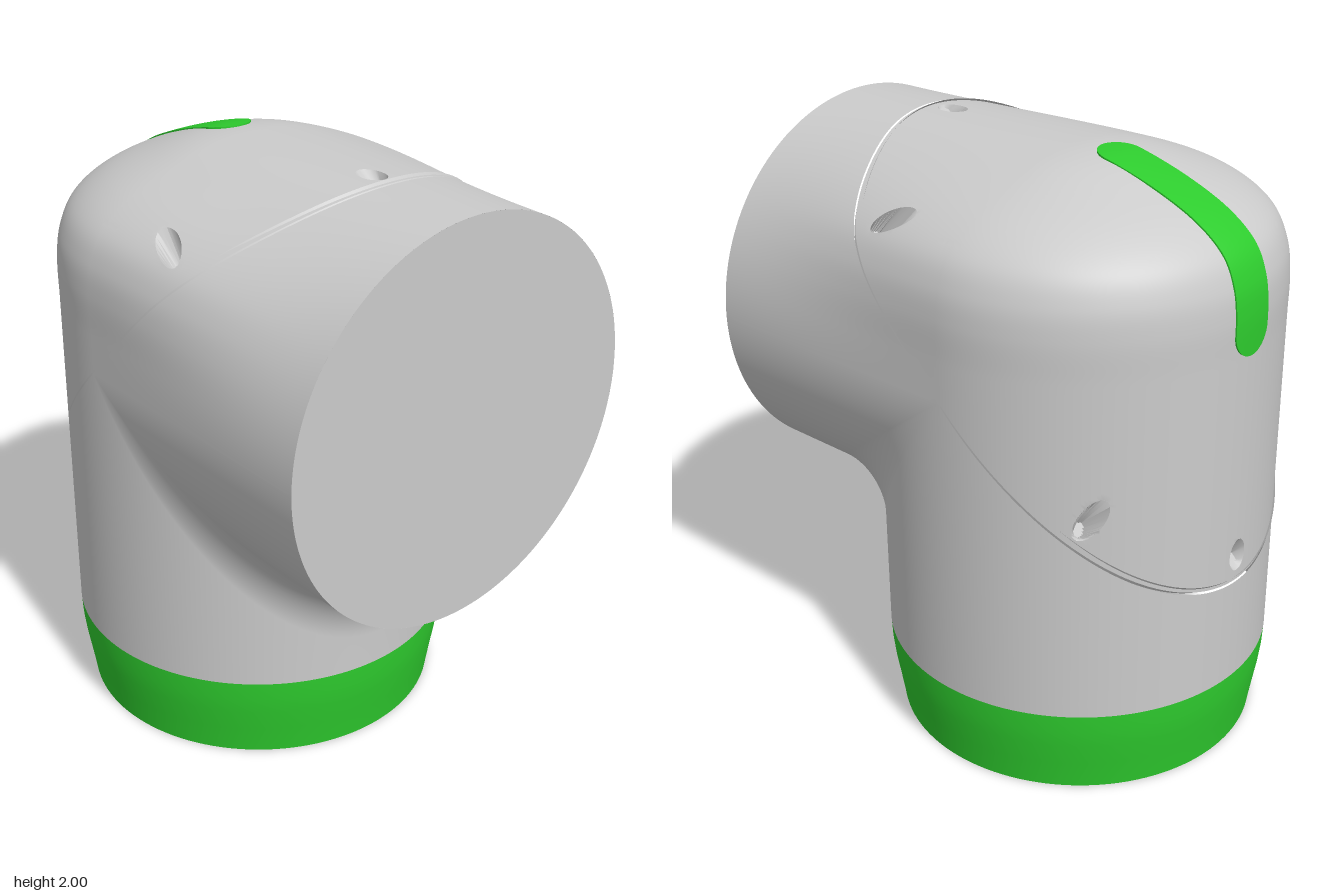
import * as THREE from 'three';
import { mergeGeometries, mergeVertices, toCreasedNormals } from 'three/addons/utils/BufferGeometryUtils.js';

const R = 0.66, AY = 1.335, AZ = -0.17; // pipe radius and crossing point of the two axes
const FRONT = 0.83, BASE = 0.305, FILLET = 0.25;
const CUT = AY - AZ, GAP = 0.009; // the cover is split off along the plane y - z = CUT
const N = 180;
const AXIS = new THREE.Vector3(0, 1, -1).normalize(); // normal of the split plane
const V = (x, y, z) => new THREE.Vector3(x, y, z);

const grey = new THREE.MeshStandardMaterial({ color: 0xcccccc });
const shell = new THREE.MeshStandardMaterial({ color: 0xcccccc, side: THREE.DoubleSide });
const green = new THREE.MeshStandardMaterial({ color: 0x2ecc2e });

// Grid surface from a point rule; outward side is dU x dV
function loft(nu, nv, fn) {
  const pos = [], idx = [];
  for (let i = 0; i <= nu; i++) {
    for (let j = 0; j <= nv; j++) {
      pos.push(...fn(i, j).toArray());
      if (i < nu && j < nv) {
        const a = i * (nv + 1) + j, b = a + nv + 1;
        idx.push(a, b, a + 1, b, b + 1, a + 1);
      }
    }
  }
  const g = new THREE.BufferGeometry();
  g.setAttribute('position', new THREE.Float32BufferAttribute(pos, 3));
  g.setIndex(idx);
  return g;
}

function weld(parts) {
  const g = mergeVertices(mergeGeometries(parts), 1e-5);
  g.computeVertexNormals();
  return g;
}

// Dome profile: side wall, rounded shoulder, gentle crown
const half = [[0.66, AY], [0.66, 1.47], [0.66, 1.6], [0.645, 1.7], [0.6, 1.79],
  [0.5, 1.867], [0.35, 1.932], [0.18, 1.983]];
const domeCurve = new THREE.SplineCurve([
  ...half.map(([x, y]) => new THREE.Vector2(x, y)),
  new THREE.Vector2(0, 2),
  ...half.slice().reverse().map(([x, y]) => new THREE.Vector2(-x, y)),
]);
domeCurve.arcLengthDivisions = 800;
const dome = domeCurve.getSpacedPoints(N);

// Upper surface: the dome section eases into the round pipe towards the front
function upper(i, z) {
  const a = Math.PI * i / N, w = THREE.MathUtils.smoothstep(z, AZ, FRONT);
  return V(THREE.MathUtils.lerp(dome[i].x, R * Math.cos(a), w),
    THREE.MathUtils.lerp(dome[i].y, AY + R * Math.sin(a), w), z);
}

// z at which the upper surface meets the plane y - z = k
function seamZ(i, k) {
  let lo = AZ, hi = FRONT;
  for (let n = 0; n < 24; n++) {
    const m = (lo + hi) / 2;
    if (upper(i, m).y - m > k) lo = m; else hi = m;
  }
  return lo;
}

const backPoint = (rho, y, phi) => V(rho * Math.cos(phi), y, AZ - rho * Math.sin(phi));

function bodyGeometry() {
  // Front pipe, upper half
  const top = loft(N, 24, (i, j) => {
    const z0 = seamZ(i, CUT);
    return upper(i, z0 + (FRONT - z0) * j / 24);
  });
  // Upright pipe, back half
  const back = loft(N, 12, (i, j) => {
    const phi = Math.PI * i / N, y1 = AY - R * Math.sin(phi);
    return backPoint(R, BASE + (y1 - BASE) * j / 12, phi);
  });
  // Inner elbow with a rolling-ball fillet between the pipes
  const M = 16;
  const inner = loft(N, M + 2, (i, j) => {
    const a = Math.PI * (1 - i / N), c = Math.cos(a), s = Math.sin(a);
    if (j === 0) return V(R * c, BASE, AZ + R * s);
    if (j === M + 2) return V(R * c, AY - R * s, FRONT);
    const t = (j - 1) / M * Math.PI / 2, q = R + FILLET;
    const dir = V(-c, s * Math.sin(t), -s * Math.cos(t)).normalize();
    return V(q * c, AY - q * s, AZ + q * s).addScaledVector(dir, FILLET);
  });
  return weld([top, back, inner]);
}

function coverGeometry() {
  const front = loft(N, 60, (i, j) => upper(i, AZ + (seamZ(i, CUT + GAP) - AZ) * j / 60));
  const low = 54;
  const back = loft(170, low + N / 2, (i, j) => {
    const phi = Math.PI * i / 170;
    if (j >= low) return backPoint(dome[j - low].x, dome[j - low].y, phi);
    const y0 = Math.min(AY, AY - R * Math.sin(phi) + GAP);
    return backPoint(R, y0 + (AY - y0) * j / low, phi);
  });
  const g = weld([front, back]);

  // Screw recesses sunk square to the split plane: [x, distance along the plane]
  const holes = [[0, 0.863], [0, -0.863]];
  for (const s of [1, -1]) holes.push([s * 0.543, 0.54], [s * 0.48, -0.537]);
  const r = 0.04, floor = 0.03;
  const pos = g.attributes.position, nor = g.attributes.normal;
  const p = V(0, 0, 0), n = V(0, 0, 0);
  for (let k = 0; k < pos.count; k++) {
    p.fromBufferAttribute(pos, k);
    const u = (p.y - AY + p.z - AZ) / Math.SQRT2;
    for (const [hx, hu] of holes) {
      const dx = p.x - hx, du = u - hu, d = Math.hypot(dx, du);
      if (d > 0.047) continue;
      if (d < 0.031) { // recess floor
        const h = (p.y - p.z - CUT) / Math.SQRT2;
        p.addScaledVector(AXIS, Math.min(0, floor - h));
      } else { // snap the rim to a clean circle, staying on the surface
        n.fromBufferAttribute(nor, k);
        const f = r / d - 1, m = du * f / Math.SQRT2;
        const v = V(dx * f, m, m);
        p.add(v).addScaledVector(AXIS, -v.dot(n) / AXIS.dot(n));
      }
      pos.setXYZ(k, p.x, p.y, p.z);
    }
  }
  return toCreasedNormals(g, 0.6);
}

// Floor of the fine groove between body and cover
function grooveGeometry() {
  const g = loft(2 * N, 1, (i, j) => {
    const a = Math.PI * i / N;
    const p = i <= N ? upper(i, seamZ(i, CUT)) : V(R * Math.cos(a), AY + R * Math.sin(a), AZ + R * Math.sin(a));
    p.sub(V(0, AY, AZ)).multiplyScalar(0.985).add(V(0, AY, AZ));
    return p.addScaledVector(AXIS, j ? -0.02 : 0.025);
  });
  g.computeVertexNormals();
  return g;
}

// Rounded strip laid over the crown and down the back
function stripGeometry() {
  const path = new THREE.SplineCurve([
    ...half.slice().reverse().slice(0, 6).map(([x, y]) => new THREE.Vector2(x, y)),
    new THREE.Vector2(R, 1.47)]);
  path.points.unshift(new THREE.Vector2(0.08, 1.9965));
  const len = path.getLength(), w = 0.08, rows = 90;
  const g = loft(rows, 14, (i, j) => {
    const e = (1 - Math.cos(Math.PI * i / rows)) / 2, s = e * len; // denser at the ends
    const q = path.getPointAt(e), t = path.getTangentAt(e);
    const end = Math.max(0, w - Math.min(s, len - s));
    const k = THREE.MathUtils.clamp((7 - j) / 6, -1, 1);
    const x = k * Math.sqrt(Math.max(0, w * w - end * end));
    const nr = -t.y, ny = t.x; // outward normal in the profile plane
    const lift = (j === 0 || j === 14 ? -0.012 : 0.005) - x * x * nr / (2 * q.x);
    return V(x, q.y + ny * lift, AZ - q.x - nr * lift);
  });
  return toCreasedNormals(g, 0.7);
}

export function createModel() {
  const group = new THREE.Group();
  const add = (name, geometry, material) => {
    const mesh = new THREE.Mesh(geometry, material);
    mesh.name = name;
    group.add(mesh);
    return mesh;
  };

  add('elbowBody', bodyGeometry(), shell);
  add('cover', coverGeometry(), shell);
  add('seamGroove', grooveGeometry(), shell);
  add('frontFace', new THREE.CircleGeometry(R, 128), grey).position.set(0, AY, FRONT);

  // Tapered base ring with a closed underside
  const ring = [[0, 0], [0.622, 0], [0.626, 0.03], [0.637, 0.1], [0.65, 0.18], [0.657, 0.24], [R, BASE]]
    .map(([x, y]) => new THREE.Vector2(x, y));
  add('baseRing', toCreasedNormals(new THREE.LatheGeometry(ring, 128), 0.6), green).position.z = AZ;

  const strip = add('backStrip', stripGeometry(), green.clone());
  strip.material.side = THREE.DoubleSide;
  return group;
}
